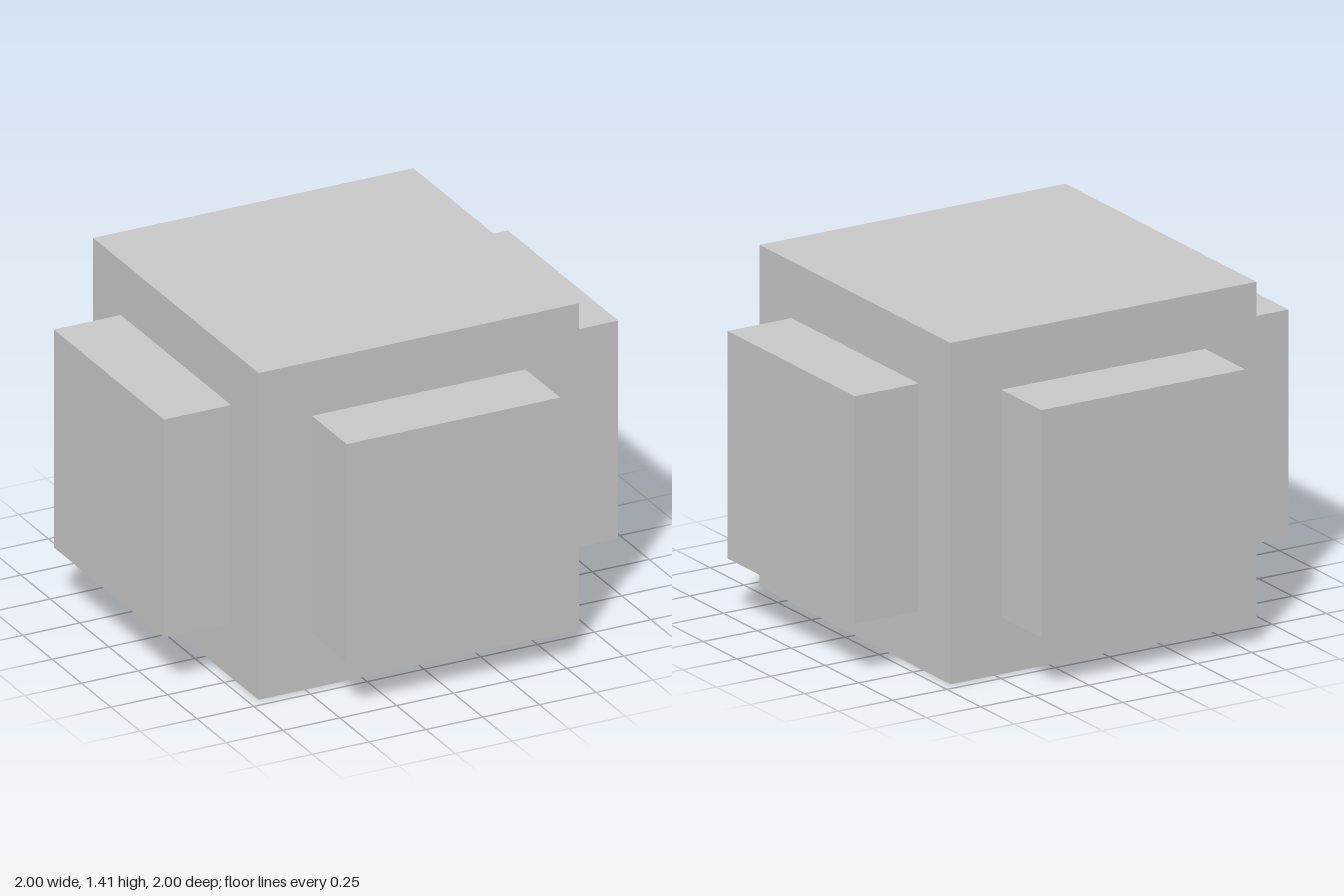
import * as THREE from 'three';

const CORE = 1.41;   // edge of the central cube
const PANEL = 0.94;  // edge of each square side block
const REACH = 1;     // distance from the centre to a block's outer face

export function createModel() {
  const model = new THREE.Group();
  model.name = 'cubeWithSideBlocks';
  const material = new THREE.MeshStandardMaterial({ color: 0xcccccc, flatShading: true });

  // Central cube
  const core = new THREE.Mesh(new THREE.BoxGeometry(CORE, CORE, CORE), material);
  core.name = 'coreCube';
  core.position.y = CORE / 2;
  model.add(core);

  // One raised block on each upright side
  const depth = REACH - CORE / 2;
  const blockGeometry = new THREE.BoxGeometry(PANEL, PANEL, depth);
  blockGeometry.translate(0, 0, REACH - depth / 2);
  ['frontBlock', 'leftBlock', 'backBlock', 'rightBlock'].forEach((name, i) => {
    const block = new THREE.Mesh(blockGeometry, material);
    block.name = name;
    block.position.y = CORE / 2;
    block.rotation.y = i * Math.PI / 2;
    model.add(block);
  });

  return model;
}
